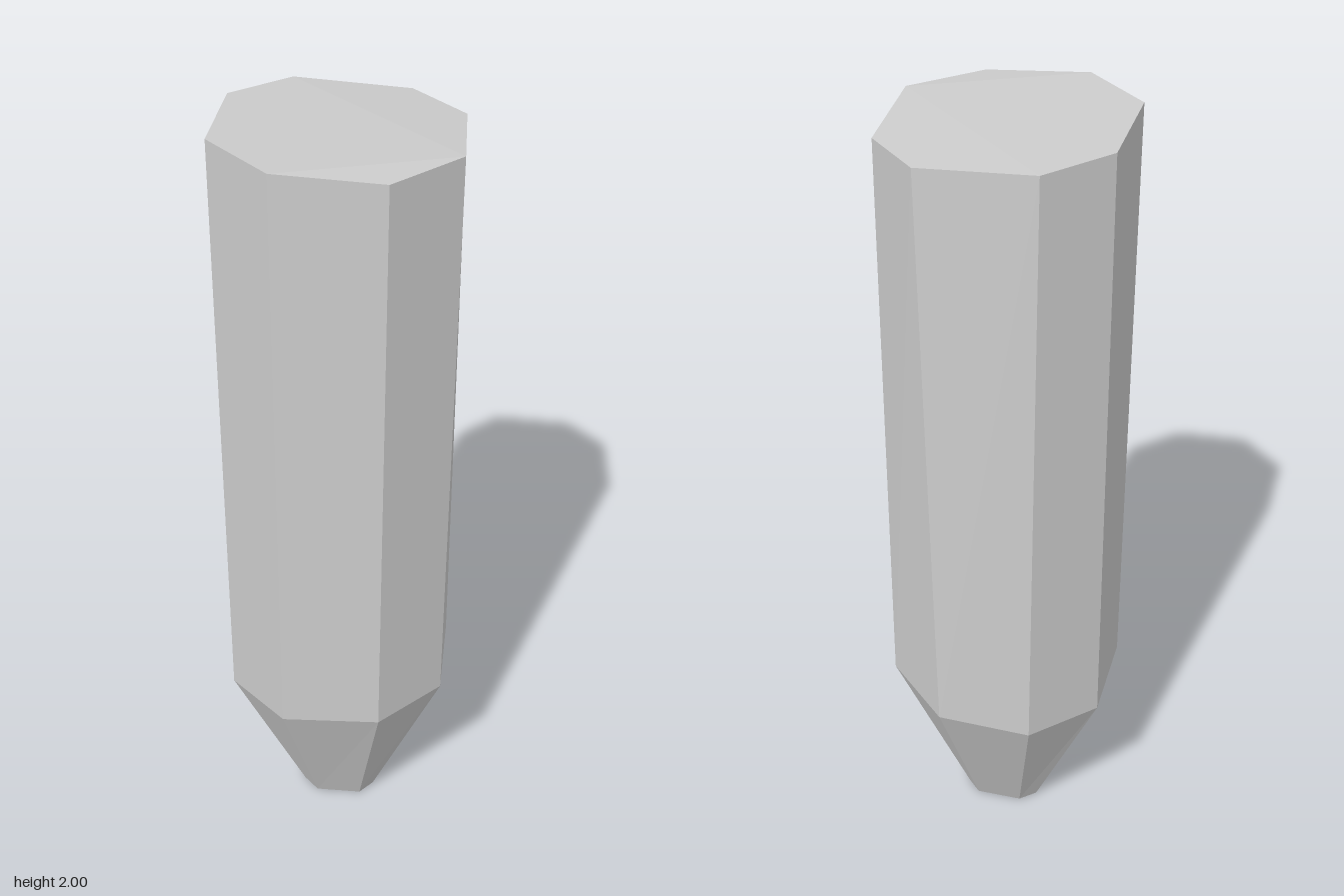
import * as THREE from 'three';

// Rings of eight corners [x, y, z], counter-clockwise seen from above, starting front left of view
const tipRing = [
  [-0.06, 0, 0.1], [0.06, 0, 0.1], [0.095, 0, 0.06], [0.095, 0, -0.06],
  [0.06, 0, -0.095], [-0.06, 0, -0.095], [-0.1, 0, -0.06], [-0.1, 0, 0.06],
];
const shoulderRing = [
  [-0.127, 0.45, 0.278], [0.122, 0.46, 0.275], [0.275, 0.46, 0.124], [0.279, 0.45, -0.128],
  [0.11, 0.44, -0.281], [-0.13, 0.43, -0.278], [-0.279, 0.43, -0.13], [-0.28, 0.43, 0.126],
];
const topRing = [
  [-0.126, 2, 0.278], [0.124, 1.985, 0.273], [0.273, 1.985, 0.124], [0.267, 1.965, -0.138],
  [0.137, 1.965, -0.268], [-0.14, 1.98, -0.273], [-0.273, 1.99, -0.14], [-0.279, 2, 0.126],
];

const material = new THREE.MeshStandardMaterial({ color: 0xcccccc, flatShading: true });

function meshFrom(name, triangles) {
  const geometry = new THREE.BufferGeometry();
  geometry.setAttribute('position', new THREE.Float32BufferAttribute(triangles.flat(2), 3));
  geometry.computeVertexNormals();
  const mesh = new THREE.Mesh(geometry, material);
  mesh.name = name;
  return mesh;
}

// Side walls between two rings
function wall(lower, upper) {
  return lower.flatMap((a, i) => {
    const j = (i + 1) % lower.length;
    return [[a, lower[j], upper[j]], [a, upper[j], upper[i]]];
  });
}

// Flat end closing a ring
function cap(ring, facingUp) {
  const triangles = [];
  for (let i = 1; i < ring.length - 1; i++) {
    triangles.push(facingUp ? [ring[0], ring[i], ring[i + 1]] : [ring[0], ring[i + 1], ring[i]]);
  }
  return triangles;
}

export function createModel() {
  const group = new THREE.Group();
  group.name = 'pointedPost';
  group.add(
    meshFrom('shaft', wall(shoulderRing, topRing)),
    meshFrom('taperedPoint', wall(tipRing, shoulderRing)),
    meshFrom('slantedTop', cap([...topRing.slice(2), ...topRing.slice(0, 2)], true)),
    meshFrom('bluntTip', cap(tipRing, false)),
  );
  return group;
}
